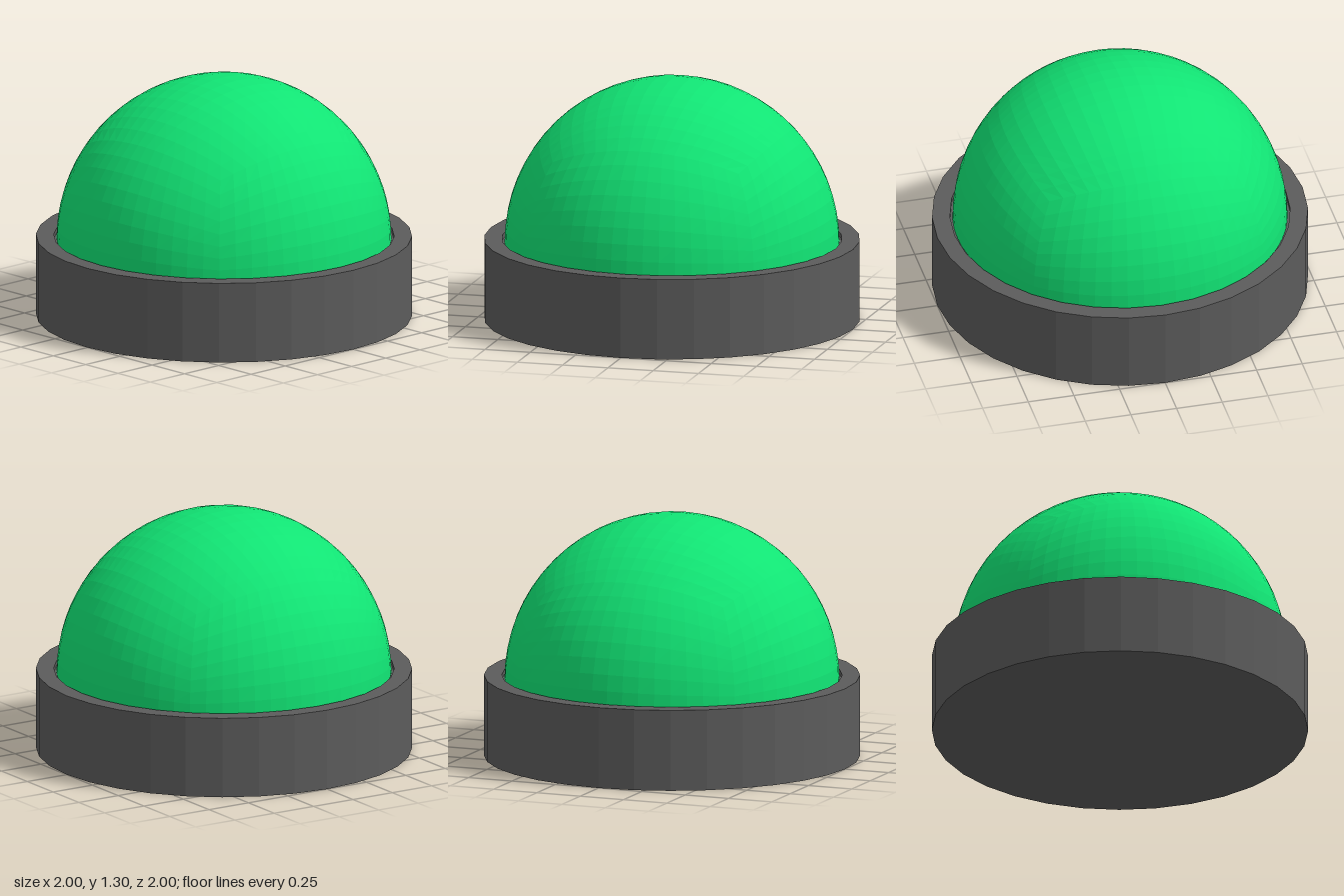
import * as THREE from 'three';

const RADIUS = 0.89, DOME_Y = 0.415;

// Half of a cube grid, projected onto a sphere in even angular steps
function domeGeometry(n) {
  const geo = new THREE.BoxGeometry(2, 1, 2, n, n / 2, n).translate(0, 0.5, 0);
  const pos = geo.attributes.position;
  const p = new THREE.Vector3();
  const warp = (c) => Math.tan((c * Math.PI) / 4);
  for (let i = 0; i < pos.count; i++) {
    p.fromBufferAttribute(pos, i);
    p.set(warp(p.x), warp(p.y), warp(p.z)).setLength(RADIUS);
    pos.setXYZ(i, p.x, p.y, p.z);
  }
  // Drop the underside, which rests in the base
  const under = geo.groups[3];
  geo.setIndex(Array.from(geo.index.array).filter(
    (_, i) => i < under.start || i >= under.start + under.count));
  geo.clearGroups();
  geo.computeVertexNormals();
  return geo;
}

export function createModel() {
  const model = new THREE.Group();
  model.name = 'domedButton';

  // Round base with a raised rim and shallow seat for the dome
  const profile = [[0, 0], [1, 0], [1, 0.435], [0.905, 0.435], [0.905, 0.41], [0, 0.41]]
    .map(([x, y]) => new THREE.Vector2(x, y));
  const base = new THREE.Mesh(
    new THREE.LatheGeometry(profile, 32),
    new THREE.MeshStandardMaterial({ color: 0x5c5c5c, flatShading: true }));
  base.name = 'base';
  model.add(base);

  // Green dome
  const dome = new THREE.Mesh(
    domeGeometry(16),
    new THREE.MeshStandardMaterial({ color: 0x11e474, flatShading: true }));
  dome.name = 'dome';
  dome.position.y = DOME_Y;
  model.add(dome);

  return model;
}
